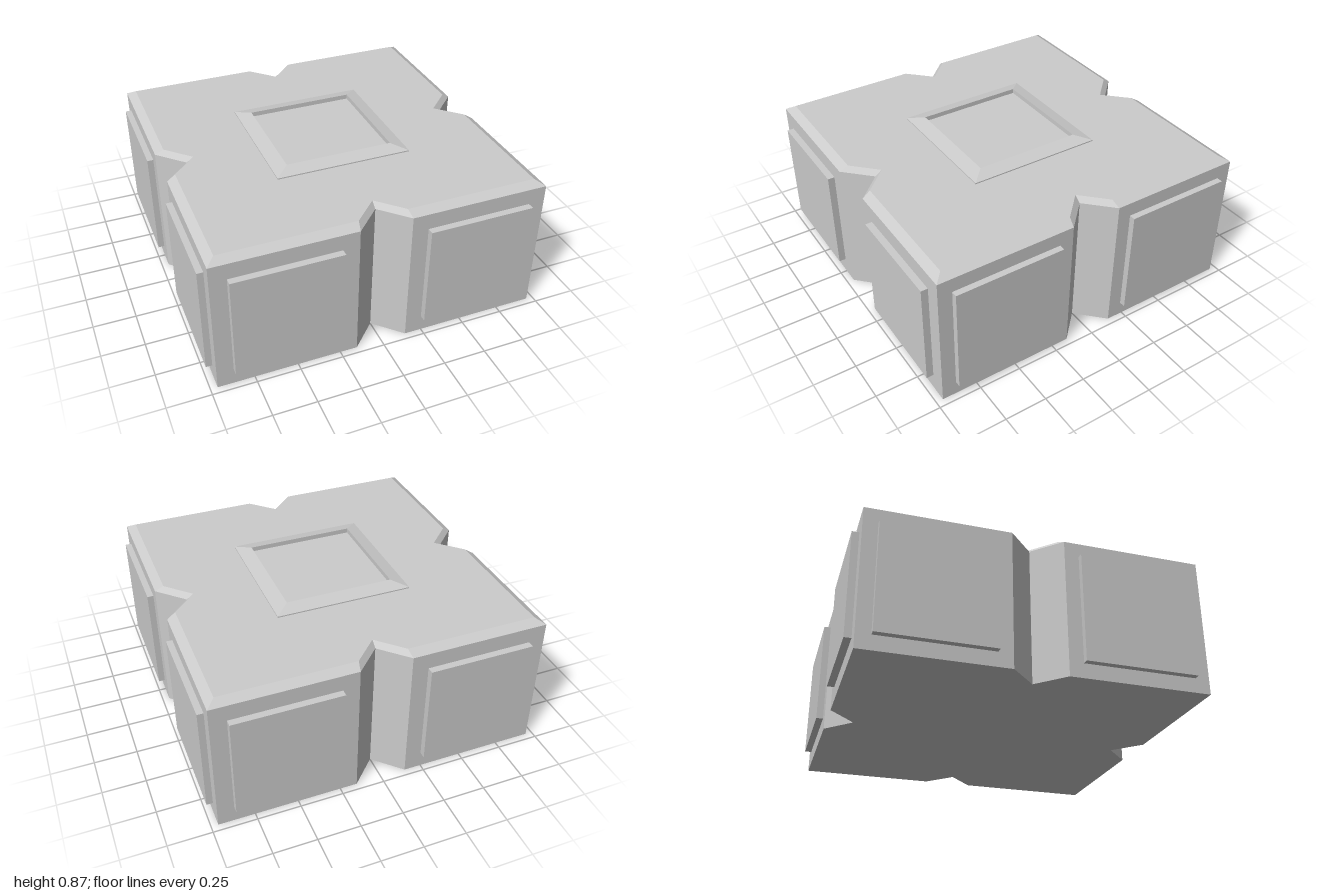
import * as THREE from 'three';

const material = new THREE.MeshStandardMaterial({ color: 0xcccccc, flatShading: true });

// Repeats the points of the front side around all four sides, anticlockwise from above
function ring(y, side) {
  const points = [];
  for (let k = 0; k < 4; k++) {
    points.push(...side.map(([x, z]) => new THREE.Vector3(x, y, z)));
    side = side.map(([x, z]) => [z, -x]);
  }
  return points;
}

const squareRing = (y, half) => ring(y, [[-half, half]]);

// Square outline with a V notch in the middle of each side
function notchedRing(y, half, tip) {
  const w = half - tip;
  return ring(y, [[-half, half], [-w, half], [0, tip], [w, half]]);
}

// Joins successive rings with flat faces, optionally closing both ends
function loft(rings, capped) {
  const corners = [];
  for (let r = 0; r < rings.length - 1; r++) {
    const low = rings[r], high = rings[r + 1];
    low.forEach((a, i) => {
      const j = (i + 1) % low.length;
      corners.push(a, low[j], high[j], a, high[j], high[i]);
    });
  }
  if (capped) {
    const bottom = rings[0], top = rings[rings.length - 1];
    const flat = top.map((p) => new THREE.Vector2(p.x, -p.z));
    for (const [a, b, c] of THREE.ShapeUtils.triangulateShape(flat, [])) {
      corners.push(top[a], top[b], top[c], bottom[a], bottom[c], bottom[b]);
    }
  }
  const geometry = new THREE.BufferGeometry().setFromPoints(corners);
  geometry.computeVertexNormals();
  return geometry;
}

export function createModel() {
  const model = new THREE.Group();
  const add = (name, geometry) => {
    const mesh = new THREE.Mesh(geometry, material);
    mesh.name = name;
    model.add(mesh);
    return mesh;
  };

  // Notched block with a bevelled top edge
  add('body', loft([
    notchedRing(0, 0.96, 0.81),
    notchedRing(0.815, 0.96, 0.81),
    notchedRing(0.845, 0.91, 0.77),
  ], true));

  // Raised square frame: thin lip, sloping top, upright inner walls
  add('topFrame', loft([
    squareRing(0.84, 0.4),
    squareRing(0.852, 0.4),
    squareRing(0.873, 0.317),
    squareRing(0.84, 0.317),
  ], false));

  // Two raised panels on each of the four sides
  for (const end of [1, -1]) {
    for (const half of [1, -1]) {
      add(end > 0 ? 'frontPanel' : 'backPanel', new THREE.BoxGeometry(0.62, 0.62, 0.06))
        .position.set(half * 0.555, 0.41, end * 0.97);
      add(end > 0 ? 'leftPanel' : 'rightPanel', new THREE.BoxGeometry(0.06, 0.645, 0.645))
        .position.set(end * 0.966, 0.408, half * 0.555);
    }
  }
  return model;
}
